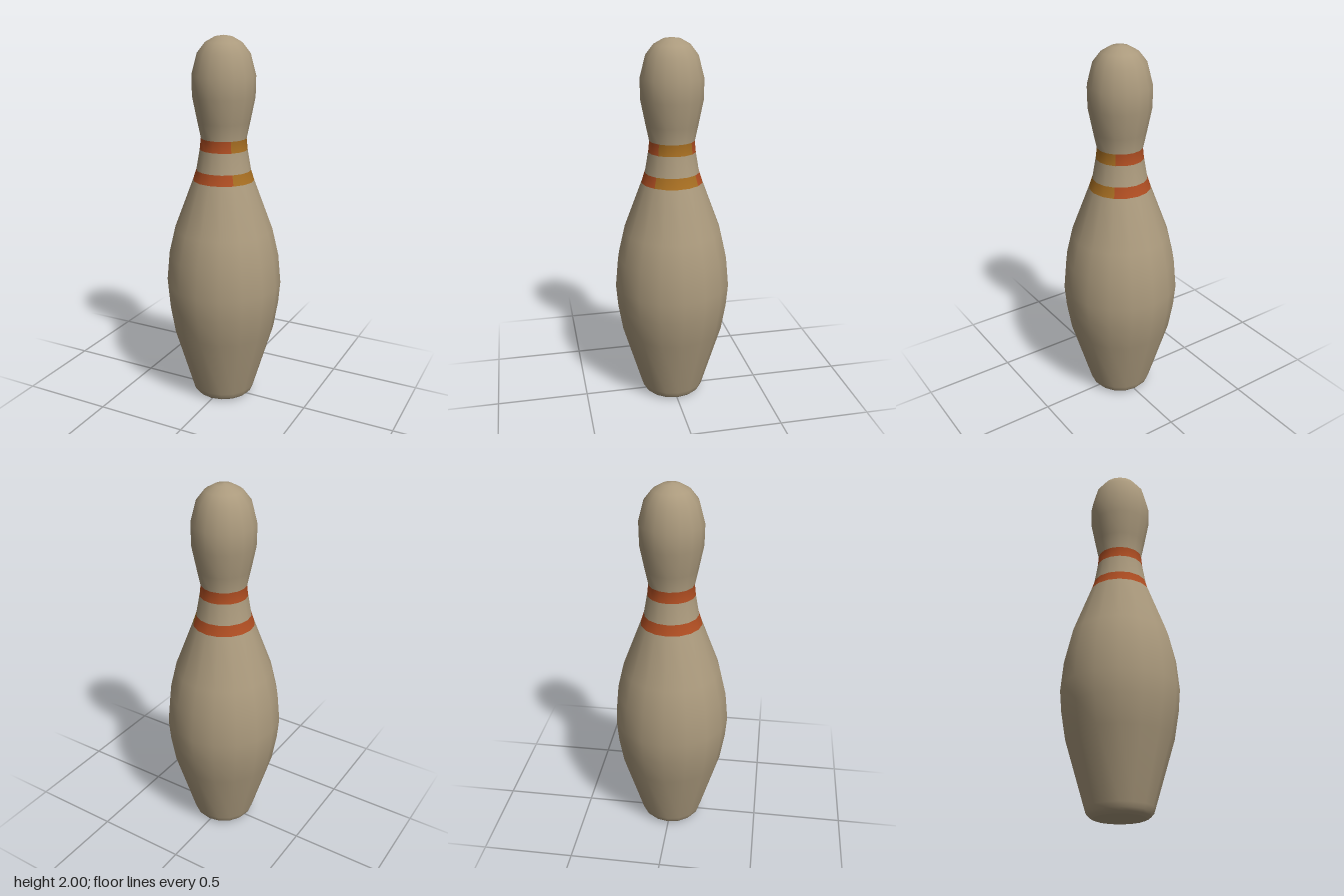
import * as THREE from 'three';

const SIDES = 16;

export function createModel() {
  const model = new THREE.Group();
  const cream = new THREE.MeshStandardMaterial({ name: 'cream', color: 0xab9a7d });
  const red = new THREE.MeshStandardMaterial({ name: 'rust red', color: 0xb04e22 });
  const gold = new THREE.MeshStandardMaterial({ name: 'amber', color: 0xa86f22 });

  // Pin outline from the foot to the crown: radius, height
  const profile = [
    [0.135, 0], [0.155, 0.01], [0.168, 0.025], [0.176, 0.05],
    [0.28, 0.4], [0.305, 0.55], [0.315, 0.67], [0.3, 0.83], [0.265, 0.98],
    [0.164, 1.25], [0.146, 1.305], [0.127, 1.415], [0.121, 1.475],
    [0.139, 1.56], [0.165, 1.69], [0.167, 1.8], [0.138, 1.91],
    [0.095, 1.965], [0.045, 1.993], [0, 2],
  ].map(([r, y]) => new THREE.Vector2(r, y));

  // One smooth skin; the two neck bands are rows of faces with their own colours
  const skin = new THREE.LatheGeometry(profile, SIDES);
  const rows = profile.length - 1;
  const isBand = (row) => profile[row].y === 1.25 || profile[row].y === 1.415;
  for (let side = 0; side < SIDES; side++) {
    for (let row = 0; row < rows; row++) {
      const amberSide = side >= 2 && side < 6; // quarter facing +x
      const material = isBand(row) ? (amberSide ? 2 : 1) : 0;
      skin.addGroup((side * rows + row) * 6, 6, material);
    }
  }
  const body = new THREE.Mesh(skin, [cream, red, gold]);
  body.name = 'pinBody';
  model.add(body);

  // Flat underside
  const base = new THREE.Mesh(new THREE.CircleGeometry(0.135, SIDES), cream);
  base.name = 'base';
  base.rotation.x = Math.PI / 2;
  model.add(base);

  return model;
}
